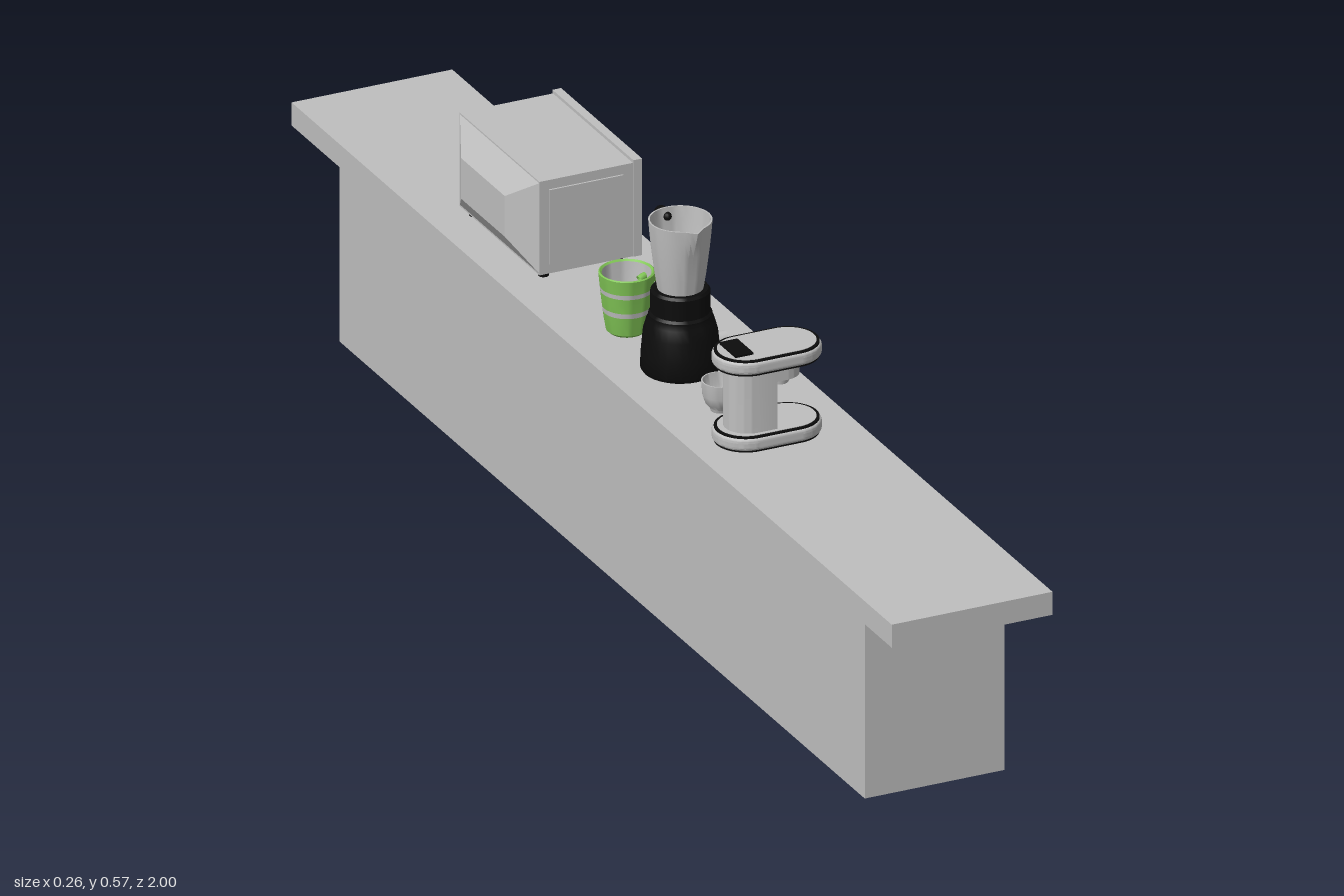
import * as THREE from 'three';
import { toCreasedNormals } from 'three/addons/utils/BufferGeometryUtils.js';

const paint = (name, color, side = THREE.FrontSide) => {
  const m = new THREE.MeshStandardMaterial({ color, side });
  m.name = name;
  return m;
};

export function createModel() {
  const grey = paint('light grey', 0xbfbfbf, THREE.DoubleSide);
  const black = paint('black', 0x0c0c0c);
  const glass = paint('dark window', 0x404040);
  const green = paint('green', 0x80c455, THREE.DoubleSide);

  const root = new THREE.Group();
  root.name = 'kitchenCounter';

  const group = (name, x, y, z) => {
    const g = new THREE.Group();
    g.name = name;
    g.position.set(x, y, z);
    root.add(g);
    return g;
  };
  const add = (parent, name, geo, mat, x = 0, y = 0, z = 0) => {
    const m = new THREE.Mesh(geo, mat);
    m.name = name;
    m.position.set(x, y, z);
    parent.add(m);
    return m;
  };
  // Box given by its limits on each axis
  const box = (parent, name, mat, x0, x1, y0, y1, z0, z1) =>
    add(parent, name, new THREE.BoxGeometry(x1 - x0, y1 - y0, z1 - z0), mat,
      (x0 + x1) / 2, (y0 + y1) / 2, (z0 + z1) / 2);
  const lathe = (pts) => toCreasedNormals(
    new THREE.LatheGeometry(pts.map(([r, y]) => new THREE.Vector2(r, y)), 32), 0.6);
  // Round knob whose axis points along x
  const knob = (parent, name, mat, r, len, x, y, z) => {
    const k = add(parent, name, new THREE.CylinderGeometry(r, r, len, 20), mat, x, y, z);
    k.rotation.z = -Math.PI / 2;
    return k;
  };

  // Counter
  const counter = group('counter', 0, 0, 0);
  box(counter, 'counterBase', grey, -0.113, 0.113, 0, 0.298, -0.875, 0.875);
  box(counter, 'countertop', grey, -0.13, 0.13, 0.298, 0.335, -1, 1);

  // Microwave, door facing +x
  const mw = group('microwave', 0, 0.335, -0.42);
  box(mw, 'microwaveBody', grey, -0.075, 0.076, 0.01, 0.16, -0.133, 0.133);
  box(mw, 'frontFrame', grey, 0.076, 0.09, 0.01, 0.165, -0.135, 0.135);
  box(mw, 'doorWindow', glass, 0.09, 0.0915, 0.03, 0.143, -0.087, 0.128);
  box(mw, 'doorGap', glass, 0.09, 0.0908, 0.012, 0.163, -0.0935, -0.092);
  for (const y of [0.145, 0.112, 0.078]) knob(mw, 'knob', grey, 0.009, 0.008, 0.094, y, -0.113);
  // Rear housing tapers away from the body
  const hump = new THREE.BoxGeometry(0.027, 0.145, 0.264);
  const hp = hump.attributes.position;
  for (let i = 0; i < hp.count; i++) {
    if (hp.getX(i) < 0) hp.setXYZ(i, hp.getX(i), hp.getY(i) * 0.45, hp.getZ(i) * 0.55);
  }
  hump.computeVertexNormals();
  add(mw, 'rearHousing', hump, grey, -0.0885, 0.085, 0);
  for (const s of [-1, 1]) {
    box(mw, 'sidePanel', grey, -0.06, 0.06, 0.025, 0.145, s * 0.1345 - 0.0015, s * 0.1345 + 0.0015);
    for (const x of [-0.06, 0.06]) {
      add(mw, 'foot', new THREE.CylinderGeometry(0.008, 0.008, 0.012, 12), black, x, 0.006, s * 0.115);
    }
  }

  // Green striped mug
  const mug = group('mug', -0.034, 0.335, -0.081);
  const rAt = (y) => 0.029 + 0.0125 * Math.pow(y / 0.095, 0.7);
  const levels = [0.004, 0.034, 0.042, 0.066, 0.073, 0.095];
  for (let i = 0; i < levels.length - 1; i++) {
    const [a, b] = [levels[i], levels[i + 1]];
    const mid = (a + b) / 2;
    add(mug, 'mugBand', lathe([[rAt(a), a], [rAt(mid), mid], [rAt(b), b]]), i % 2 ? grey : green);
  }
  add(mug, 'mugBottom', lathe([[0, 0], [0.026, 0], [rAt(0.004), 0.004]]), green);
  add(mug, 'mugRim', lathe([[0.0415, 0.095], [0.0395, 0.0965], [0.0365, 0.094]]), green);
  add(mug, 'mugInside', lathe([[0.0365, 0.094], [0.033, 0.04], [0.026, 0.007], [0, 0.007]]), grey);
  const mugGrip = add(mug, 'mugHandle', new THREE.TorusGeometry(0.027, 0.0055, 10, 28, Math.PI * 1.3),
    green);
  mugGrip.position.set(0.037 * Math.cos(0.28), 0.05, -0.037 * Math.sin(0.28));
  mugGrip.rotation.set(0, 0.28, -Math.PI * 0.65, 'YXZ');

  // Blender
  const bl = group('blender', -0.02, 0.335, 0.069);
  add(bl, 'blenderBase', lathe([[0, 0], [0.056, 0], [0.059, 0.005], [0.058, 0.03], [0.055, 0.062],
    [0.05, 0.08], [0.047, 0.086], [0.047, 0.09], [0.044, 0.094], [0.044, 0.126], [0.041, 0.13], [0, 0.13]]), black);
  knob(bl, 'speedKnob', grey, 0.013, 0.014, 0.062, 0.036, 0.008);
  const jar = new THREE.LatheGeometry([[0, 0.13], [0.034, 0.13], [0.038, 0.155], [0.043, 0.195],
    [0.0455, 0.22], [0.047, 0.239], [0.0445, 0.239], [0.043, 0.22], [0.0405, 0.195], [0.035, 0.15], [0, 0.14]]
    .map(([r, y]) => new THREE.Vector2(r, y)), 40);
  // Pull the rim forward into a pouring spout
  const jp = jar.attributes.position;
  for (let i = 0; i < jp.count; i++) {
    const rise = Math.max(0, (jp.getY(i) - 0.195) / 0.044);
    const front = Math.max(0, 1 - Math.abs(jp.getX(i)) / 0.016);
    if (jp.getZ(i) > 0) jp.setZ(i, jp.getZ(i) + 0.012 * rise * front);
  }
  add(bl, 'blenderJar', toCreasedNormals(jar, 0.6), grey);
  const gripPath = new THREE.CatmullRomCurve3([[0.225, -0.043], [0.229, -0.058], [0.222, -0.072],
    [0.2, -0.077], [0.172, -0.073]].map(([y, z]) => new THREE.Vector3(0, y, z)));
  add(bl, 'blenderHandle', new THREE.TubeGeometry(gripPath, 20, 0.0065, 10), black);
  for (const p of [gripPath.getPoint(0), gripPath.getPoint(1)]) {
    add(bl, 'handleEnd', new THREE.SphereGeometry(0.0065, 12, 8), black, p.x, p.y, p.z);
  }

  // Small cup
  const cup = group('cup', -0.03, 0.335, 0.224);
  add(cup, 'cupBowl', lathe([[0, 0], [0.015, 0], [0.016, 0.005], [0.023, 0.013], [0.027, 0.026], [0.0285, 0.048],
    [0.0265, 0.048], [0.025, 0.027], [0.02, 0.014], [0, 0.008]]), grey);
  const cupGrip = add(cup, 'cupHandle', new THREE.TorusGeometry(0.012, 0.003, 8, 20, Math.PI * 1.3), grey);
  cupGrip.position.set(0.03 * Math.cos(0.7), 0.028, -0.03 * Math.sin(0.7));
  cupGrip.rotation.set(0, 0.7, -Math.PI * 0.65, 'YXZ');

  // Coffee machine
  const cm = group('coffeeMachine', -0.008, 0.335, 0.332);
  const stadium = (len, r) => {
    const s = new THREE.Shape();
    s.absarc(len - r, 0, r, -Math.PI / 2, Math.PI / 2);
    s.absarc(r - len, 0, r, Math.PI / 2, Math.PI * 1.5);
    s.closePath();
    return s;
  };
  const slab = (name, mat, shape, y0, y1, bevel = 0) => {
    const geo = new THREE.ExtrudeGeometry(shape, {
      depth: y1 - y0 - 2 * bevel, bevelEnabled: bevel > 0, bevelSize: bevel, bevelOffset: -bevel,
      bevelThickness: bevel, bevelSegments: 4, curveSegments: 20,
    });
    geo.rotateX(-Math.PI / 2);
    return add(cm, name, toCreasedNormals(geo, 0.6), mat, 0, y0 + bevel, 0);
  };
  for (const [name, y] of [['basePlate', 0], ['topPlate', 0.122]]) {
    slab(name, grey, stadium(0.084, 0.05), y + 0.001, y + 0.023, 0.008);
    slab(name + 'LowerTrim', black, stadium(0.0805, 0.0465), y, y + 0.003);
    slab(name + 'UpperTrim', black, stadium(0.0805, 0.0465), y + 0.021, y + 0.024);
    slab(name + 'Cover', grey, stadium(0.076, 0.042), y + 0.022, y + 0.0248);
  }
  // Column with a rounded rear
  const column = new THREE.Shape();
  column.moveTo(0, -0.036);
  column.lineTo(0, 0.036);
  column.lineTo(-0.031, 0.036);
  column.absarc(-0.031, 0, 0.036, Math.PI / 2, Math.PI * 1.5);
  slab('column', grey, column, 0.022, 0.124);
  const head = slab('brewHead', grey, stadium(0.04, 0.03), 0.097, 0.124);
  head.position.x = 0.01;
  add(cm, 'filterHolder', new THREE.CylinderGeometry(0.016, 0.014, 0.014, 24), grey, 0.02, 0.09, 0);
  add(cm, 'filterRing', new THREE.CylinderGeometry(0.018, 0.018, 0.004, 24), black, 0.02, 0.096, 0);
  // Control plate on the lid and buttons on the far side
  box(cm, 'lidPanel', black, -0.063, -0.034, 0.1465, 0.15, -0.028, 0.026);
  for (const x of [-0.032, -0.02, -0.008]) {
    const b = add(cm, 'button', new THREE.CylinderGeometry(0.005, 0.005, 0.006, 16), black, x, 0.085, -0.038);
    b.rotation.x = Math.PI / 2;
  }
  return root;
}
